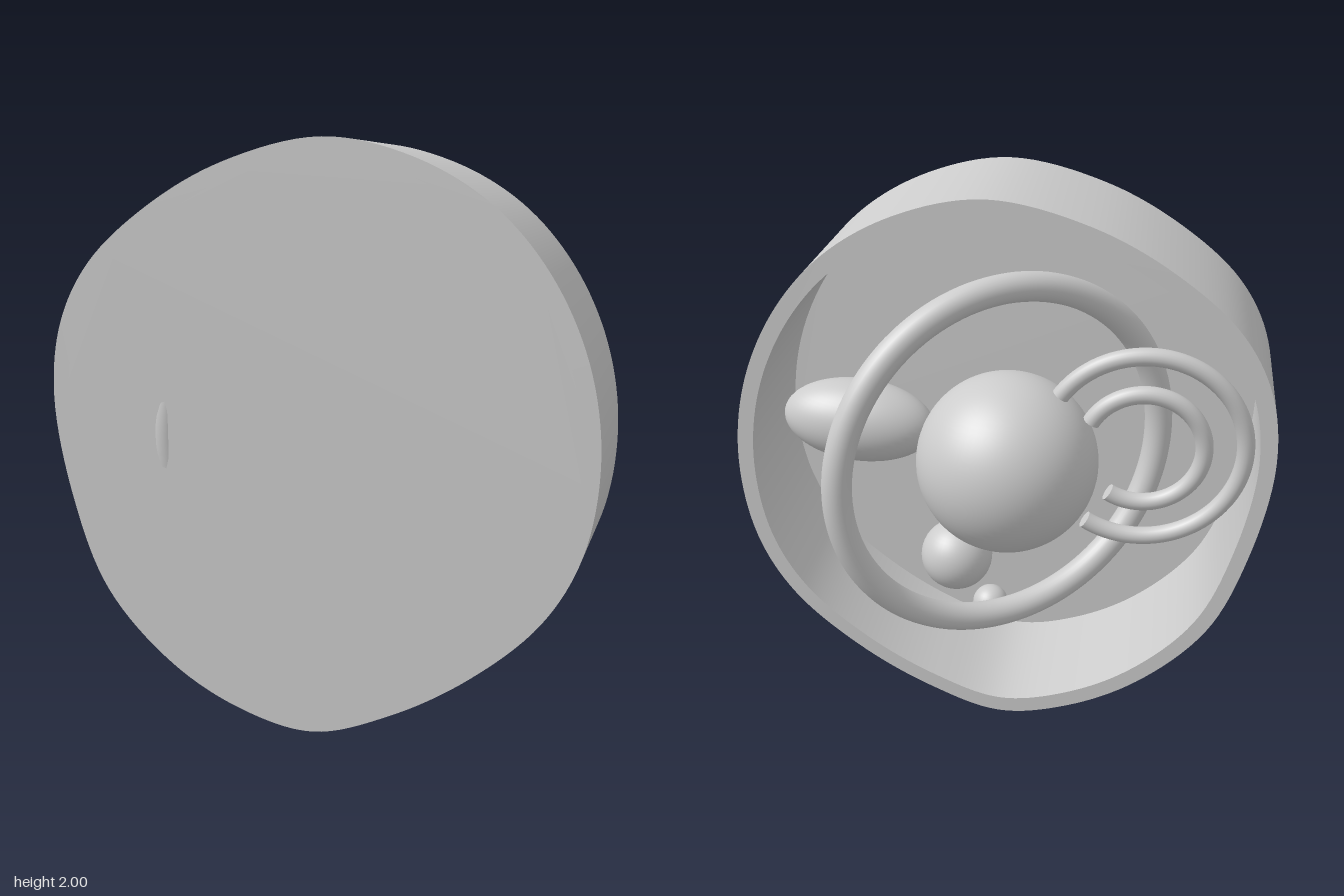
import * as THREE from 'three';
import { toCreasedNormals } from 'three/addons/utils/BufferGeometryUtils.js';

// Outline of the organic wall, anticlockwise from the +x side
const OUTLINE = [
  [0.945, 1.01], [0.9, 1.31], [0.775, 1.58], [0.59, 1.79], [0.34, 1.935], [0.04, 2.0],
  [-0.3, 1.925], [-0.57, 1.785], [-0.795, 1.595], [-0.91, 1.39], [-0.947, 1.13],
  [-0.885, 0.76], [-0.76, 0.44], [-0.52, 0.19], [-0.26, 0.05], [0, 0],
  [0.27, 0.09], [0.54, 0.25], [0.775, 0.466], [0.9, 0.7],
];
const BACK = -0.15, FRONT = 0.417, FLOOR = 0.37;

// Smooth closed outline, scaled about the middle of the body
function outlinePoints(scale) {
  const curve = new THREE.CatmullRomCurve3(
    OUTLINE.map(([x, y]) => new THREE.Vector3(x * scale, 1 + (y - 1) * scale, 0)), true, 'centripetal');
  return curve.getPoints(160).slice(0, -1).map((p) => new THREE.Vector2(p.x, p.y));
}

function extrude(shape, z0, z1) {
  const geo = new THREE.ExtrudeGeometry(shape, { depth: z1 - z0, bevelEnabled: false });
  geo.translate(0, 0, z0);
  return toCreasedNormals(geo, 0.6);
}

export function createModel() {
  const model = new THREE.Group();
  const grey = new THREE.MeshStandardMaterial({ color: 0xcccccc });
  grey.name = 'plain grey';

  const add = (name, geo, x = 0, y = 0, z = 0, parent = model) => {
    const mesh = new THREE.Mesh(geo, grey);
    mesh.name = name;
    mesh.position.set(x, y, z);
    parent.add(mesh);
    return mesh;
  };

  // Open-backed shell: a rim wall and a closed front plate
  const wall = new THREE.Shape(outlinePoints(1));
  wall.holes.push(new THREE.Path(outlinePoints(0.94)));
  add('outerWall', extrude(wall, BACK, FRONT));
  add('frontPlate', extrude(new THREE.Shape(outlinePoints(0.94)), FLOOR, FRONT));

  // Central ball with a tilted ring around it
  add('centralBall', new THREE.SphereGeometry(0.328, 64, 40), -0.012, 1.01, -0.014);
  add('largeRing', new THREE.TorusGeometry(0.647, 0.052, 24, 128), -0.008, 1.01, 0)
    .rotation.y = THREE.MathUtils.degToRad(35);

  // Ellipsoid beside the ball
  const ellipsoid = add('ellipsoid', new THREE.SphereGeometry(1, 48, 32), 0.55, 1.1, 0.07);
  ellipsoid.scale.set(0.28, 0.152, 0.152);
  ellipsoid.rotation.z = 0.08;

  // Small balls near the bottom
  add('smallBall', new THREE.SphereGeometry(0.14, 40, 24), 0.22, 0.475, 0.2);
  add('tinyBall', new THREE.SphereGeometry(0.07, 32, 20), 0.09, 0.25, 0.22);

  // Two concentric open arcs facing the ball
  const arcs = new THREE.Group();
  arcs.name = 'concentricArcs';
  arcs.position.set(-0.495, 1.075, 0.02);
  arcs.rotation.set(-0.04, 0.07, THREE.MathUtils.degToRad(29), 'XYZ');
  model.add(arcs);
  const sweep = THREE.MathUtils.degToRad(275), tube = 0.032;
  for (const [name, radius] of [['outerArc', 0.36], ['innerArc', 0.215]]) {
    add(name, new THREE.TorusGeometry(radius, tube, 20, 80, sweep), 0, 0, 0, arcs);
    const cap = new THREE.CircleGeometry(tube, 20);
    add(name + 'StartCap', cap.clone().rotateX(Math.PI / 2).translate(radius, 0, 0), 0, 0, 0, arcs);
    add(name + 'EndCap', cap.rotateX(-Math.PI / 2).translate(radius, 0, 0).rotateZ(sweep), 0, 0, 0, arcs);
  }

  return model;
}
